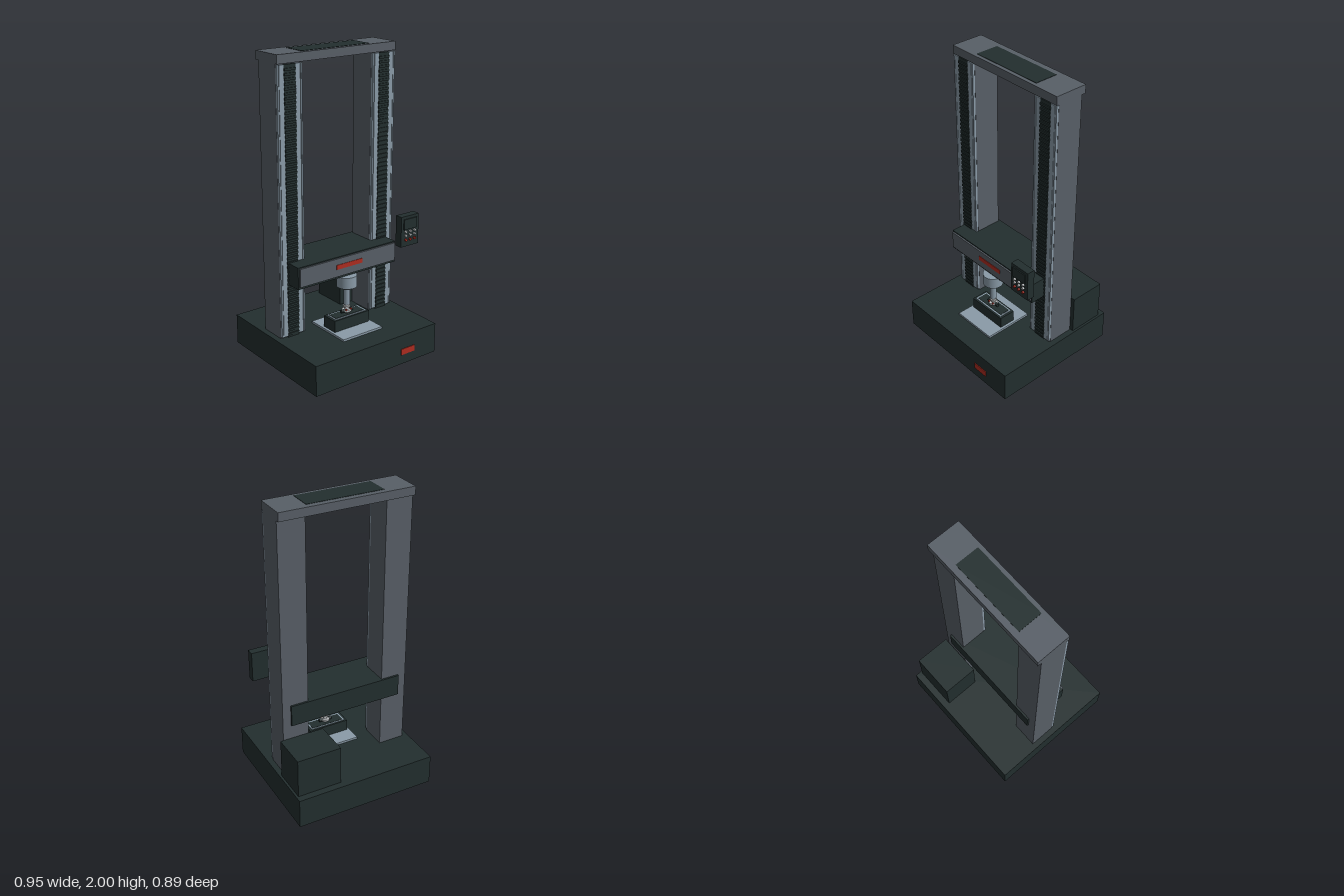
import * as THREE from 'three';

const mat = (name, color) => {
  const m = new THREE.MeshStandardMaterial({ color });
  m.name = name;
  return m;
};

export function createModel() {
  const dark = mat('dark casing', 0x222e2e);
  const grey = mat('grey frame', 0x585f67);
  const light = mat('light metal', 0x8a9ba8);
  const silver = mat('silver', 0xc4c8ca);
  const red = mat('red', 0xae2c20);
  const black = mat('black rubber', 0x161a1b);

  const root = new THREE.Group();
  root.name = 'testingMachine';

  const add = (parent, name, geometry, material) => {
    const mesh = new THREE.Mesh(geometry, material);
    mesh.name = name;
    parent.add(mesh);
    return mesh;
  };
  // Box given by its limits on each axis
  const box = (parent, name, m, x0, x1, y0, y1, z0, z1) => {
    const mesh = add(parent, name, new THREE.BoxGeometry(x1 - x0, y1 - y0, z1 - z0), m);
    mesh.position.set((x0 + x1) / 2, (y0 + y1) / 2, (z0 + z1) / 2);
    return mesh;
  };
  // Upright cylinder from y0 to y1
  const cyl = (parent, name, m, r, x, y0, y1, z, rTop = r) => {
    const mesh = add(parent, name, new THREE.CylinderGeometry(rTop, r, y1 - y0, 32), m);
    mesh.position.set(x, (y0 + y1) / 2, z);
    return mesh;
  };

  // Base, feet, badge and rear cabinet
  const base = new THREE.Group();
  base.name = 'base';
  root.add(base);
  box(base, 'baseCasing', dark, -0.475, 0.475, 0.035, 0.235, -0.445, 0.44);
  for (const x of [-0.37, 0.37]) {
    for (const z of [-0.343, 0.343]) cyl(base, 'foot', black, 0.048, x, 0, 0.036, z);
  }
  box(base, 'baseBadge', red, 0.185, 0.295, 0.1, 0.14, 0.438, 0.445);
  box(base, 'rearCabinet', dark, 0.165, 0.46, 0.234, 0.497, -0.4, -0.162);

  // Columns with guide rails and pleated screw covers
  for (const s of [-1, 1]) {
    const column = new THREE.Group();
    column.name = s > 0 ? 'leftColumn' : 'rightColumn';
    root.add(column);
    const part = (name, m, a, b, ...rest) =>
      box(column, name, m, Math.min(s * a, s * b), Math.max(s * a, s * b), ...rest);
    part('columnBody', grey, 0.262, 0.437, 0.234, 1.946, -0.157, 0.018);
    part('outerRail', light, 0.391, 0.423, 0.245, 1.938, 0.016, 0.033);
    part('outerTrim', light, 0.426, 0.436, 0.245, 1.938, 0.016, 0.033);
    part('innerRail', light, 0.277, 0.309, 0.245, 1.938, 0.016, 0.033);
    part('innerTrim', light, 0.263, 0.273, 0.245, 1.938, 0.016, 0.033);
    part('screwCover', dark, 0.309, 0.391, 0.236, 1.938, 0.016, 0.032);
    for (let y = 0.25; y < 1.92; y += 0.028) {
      part('coverPleat', dark, 0.31, 0.39, y, y + 0.014, 0.03, 0.039);
    }
  }

  // Top beam with its recessed cover
  const beam = new THREE.Group();
  beam.name = 'topBeam';
  root.add(beam);
  box(beam, 'beamBody', grey, -0.438, 0.438, 1.944, 1.998, -0.183, 0.035);
  box(beam, 'beamCover', dark, -0.25, 0.25, 1.995, 2, -0.145, 0.01);

  // Moving crosshead
  const crosshead = new THREE.Group();
  crosshead.name = 'crosshead';
  root.add(crosshead);
  box(crosshead, 'crossheadBody', dark, -0.382, 0.382, 0.59, 0.732, -0.17, 0.136);
  box(crosshead, 'crossheadFace', grey, -0.373, 0.373, 0.606, 0.725, 0.134, 0.147);
  box(crosshead, 'crossheadBadge', red, -0.1, 0.1, 0.655, 0.685, 0.145, 0.15);

  // Load cell, rod and pressing tip
  const z = 0.12;
  const load = new THREE.Group();
  load.name = 'loadTrain';
  root.add(load);
  cyl(load, 'loadCell', light, 0.065, 0, 0.515, 0.59, z);
  cyl(load, 'loadCellCollar', light, 0.035, 0, 0.498, 0.516, z);
  cyl(load, 'loadRod', light, 0.021, 0, 0.39, 0.5, z);
  cyl(load, 'rodNeck', silver, 0.014, 0, 0.345, 0.392, z);
  cyl(load, 'rodNut', silver, 0.022, 0, 0.37, 0.38, z);
  cyl(load, 'tipFlange', silver, 0.03, 0, 0.342, 0.354, z);
  cyl(load, 'pressTip', silver, 0.012, 0, 0.326, 0.344, z, 0.02);
  for (const s of [-1, 1]) {
    const knob = cyl(load, 'clampKnob', dark, 0.011, s * 0.032, 0.334, 0.358, z);
    knob.rotation.z = Math.PI / 2;
    const cap = cyl(load, 'clampCap', red, 0.006, s * 0.018, 0.353, 0.363, z + 0.02);
    cap.rotation.x = Math.PI / 2;
  }

  // Specimen table and fixture
  const fixture = new THREE.Group();
  fixture.name = 'fixture';
  root.add(fixture);
  box(fixture, 'tablePlate', light, -0.154, 0.154, 0.234, 0.249, -0.045, 0.288);
  box(fixture, 'fixtureBlock', dark, -0.137, 0.137, 0.248, 0.325, 0.064, 0.176);
  box(fixture, 'fixtureTop', light, -0.122, 0.122, 0.323, 0.328, 0.076, 0.165);
  box(fixture, 'specimen', dark, -0.112, 0.112, 0.326, 0.33, 0.084, 0.154);

  // Control pendant with screen and buttons
  const pendant = new THREE.Group();
  pendant.name = 'controlPendant';
  root.add(pendant);
  box(pendant, 'pendantBody', dark, 0.326, 0.47, 0.735, 0.937, 0.205, 0.257);
  box(pendant, 'pendantScreen', dark, 0.345, 0.45, 0.85, 0.918, 0.256, 0.264);
  [0.835, 0.81, 0.78].forEach((y, row) => {
    for (const x of [0.361, 0.398, 0.434]) {
      const button = cyl(pendant, 'button', row === 2 ? red : silver, 0.008, x, y - 0.007, y + 0.007, 0.262);
      button.rotation.x = Math.PI / 2;
    }
  });

  return root;
}
